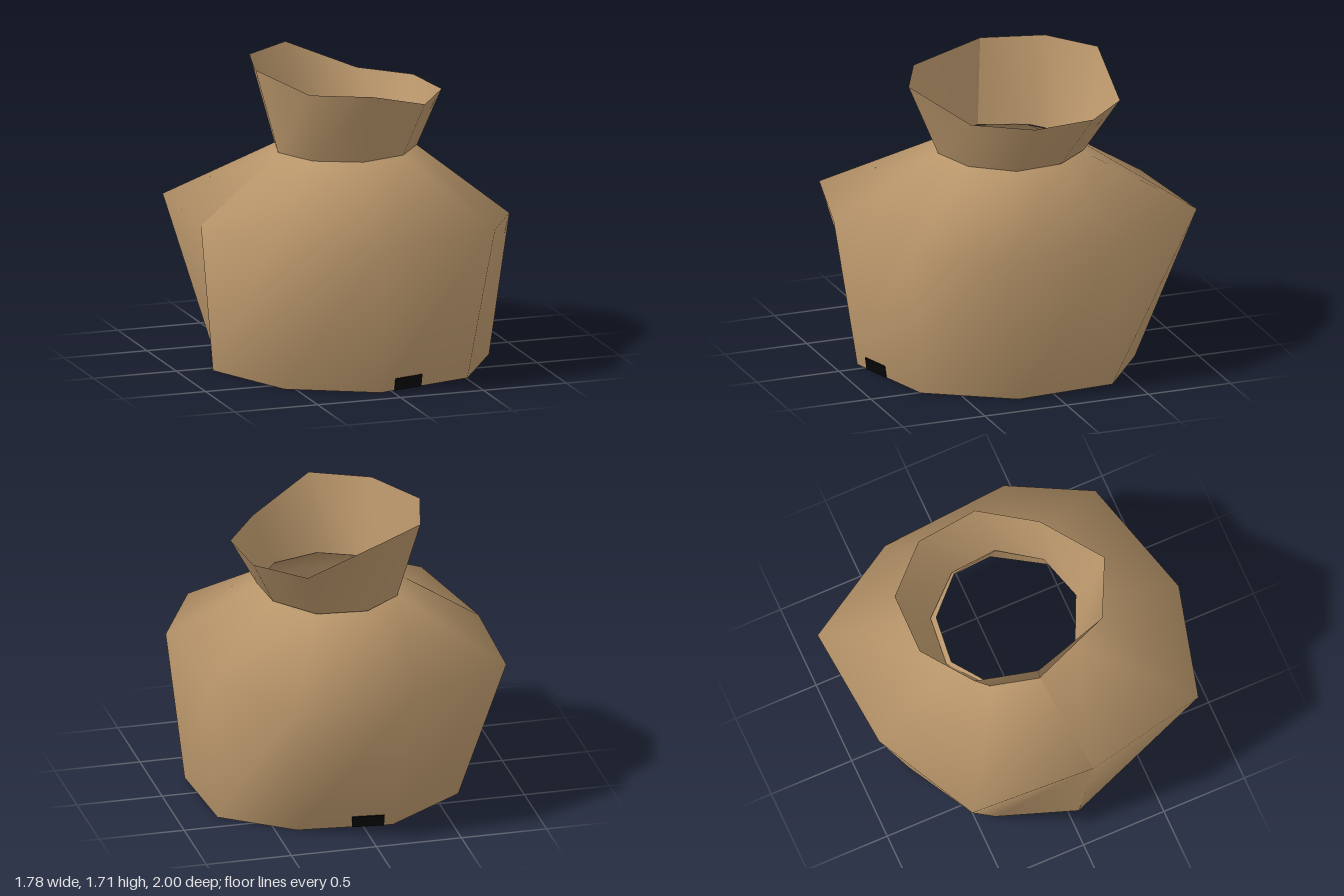
import * as THREE from 'three';

// Nine-sided cross-sections [x, y, z], starting at the seam on the -x side and running past the front.
const base = [[-0.8, 0, 0.06], [-0.56, 0, 0.6], [-0.07, 0, 0.86], [0.51, 0, 0.7], [0.81, 0, 0.22],
  [0.77, 0, -0.37], [0.38, 0, -0.66], [-0.17, 0, -0.72], [-0.64, 0, -0.39]];
const shoulder = [[-0.89, 0.87, 0.11], [-0.74, 0.88, 0.83], [-0.08, 0.88, 1], [0.64, 0.88, 0.8], [0.89, 0.85, 0.34],
  [0.82, 0.88, -0.43], [0.48, 0.88, -1], [-0.25, 0.88, -0.94], [-0.86, 0.88, -0.63]];
const collar = [[-0.38, 1.23, 0], [-0.27, 1.235, 0.27], [-0.01, 1.235, 0.39], [0.26, 1.235, 0.31], [0.42, 1.23, 0.08],
  [0.39, 1.23, -0.19], [0.19, 1.225, -0.39], [-0.09, 1.225, -0.42], [-0.31, 1.225, -0.26]];
const neckBase = [[-0.385, 1.23, 0], [-0.27, 1.235, 0.27], [-0.01, 1.235, 0.39], [0.26, 1.235, 0.31], [0.425, 1.23, 0.08],
  [0.4, 1.23, -0.2], [0.2, 1.22, -0.42], [-0.09, 1.22, -0.45], [-0.31, 1.22, -0.28]];
const rim = [[-0.5, 1.71, -0.06], [-0.34, 1.66, 0.41], [-0.01, 1.66, 0.57], [0.38, 1.53, 0.34], [0.59, 1.53, 0.03],
  [0.55, 1.53, -0.34], [0.3, 1.53, -0.6], [-0.12, 1.71, -0.63], [-0.41, 1.71, -0.42]];

// Skin stacked rings; the first column is repeated so the seam stays a hard edge.
function loft(rings) {
  const cols = rings[0].length + 1;
  const positions = [];
  const index = [];
  rings.forEach((ring, j) => {
    for (let i = 0; i < cols; i++) {
      positions.push(...ring[i % ring.length]);
      if (j === 0 || i === 0) continue;
      const d = j * cols + i;
      const c = d - 1;
      const b = d - cols;
      const a = b - 1;
      index.push(a, b, d, a, d, c);
    }
  });
  const geometry = new THREE.BufferGeometry();
  geometry.setAttribute('position', new THREE.Float32BufferAttribute(positions, 3));
  geometry.setIndex(index);
  geometry.computeVertexNormals();
  return geometry;
}

export function createModel() {
  const cloth = new THREE.MeshStandardMaterial({ color: 0xb8956a, side: THREE.DoubleSide });
  cloth.name = 'tan cloth';
  const black = new THREE.MeshStandardMaterial({ color: 0x080808 });
  black.name = 'black';

  const group = new THREE.Group();
  group.name = 'sack';
  const add = (name, geometry, material) => {
    const mesh = new THREE.Mesh(geometry, material);
    mesh.name = name;
    group.add(mesh);
    return mesh;
  };

  // Open-bottomed body and flared neck
  add('body', loft([base, shoulder, collar]), cloth);
  add('neck', loft([neckBase, rim]), cloth);

  // Small dark patch lying on a wall panel, at parameter t along its bottom edge
  function addPatch(name, panel, t) {
    const point = (ring, k) => new THREE.Vector3(...ring[k]);
    const a = point(base, panel);
    const b = point(base, panel + 1);
    const foot = a.clone().lerp(b, t);
    const top = point(shoulder, panel).lerp(point(shoulder, panel + 1), t);
    const across = b.clone().sub(a).normalize();
    const out = across.clone().cross(top.sub(foot)).normalize();
    const up = out.clone().cross(across);
    const patch = add(name, new THREE.BoxGeometry(0.185, 0.072, 0.0098), black);
    patch.quaternion.setFromRotationMatrix(new THREE.Matrix4().makeBasis(across, up, out));
    patch.position.copy(foot).addScaledVector(up, 0.037);
  }
  addPatch('frontPatch', 2, 0.31);
  addPatch('backPatch', 6, 0.74);

  return group;
}
